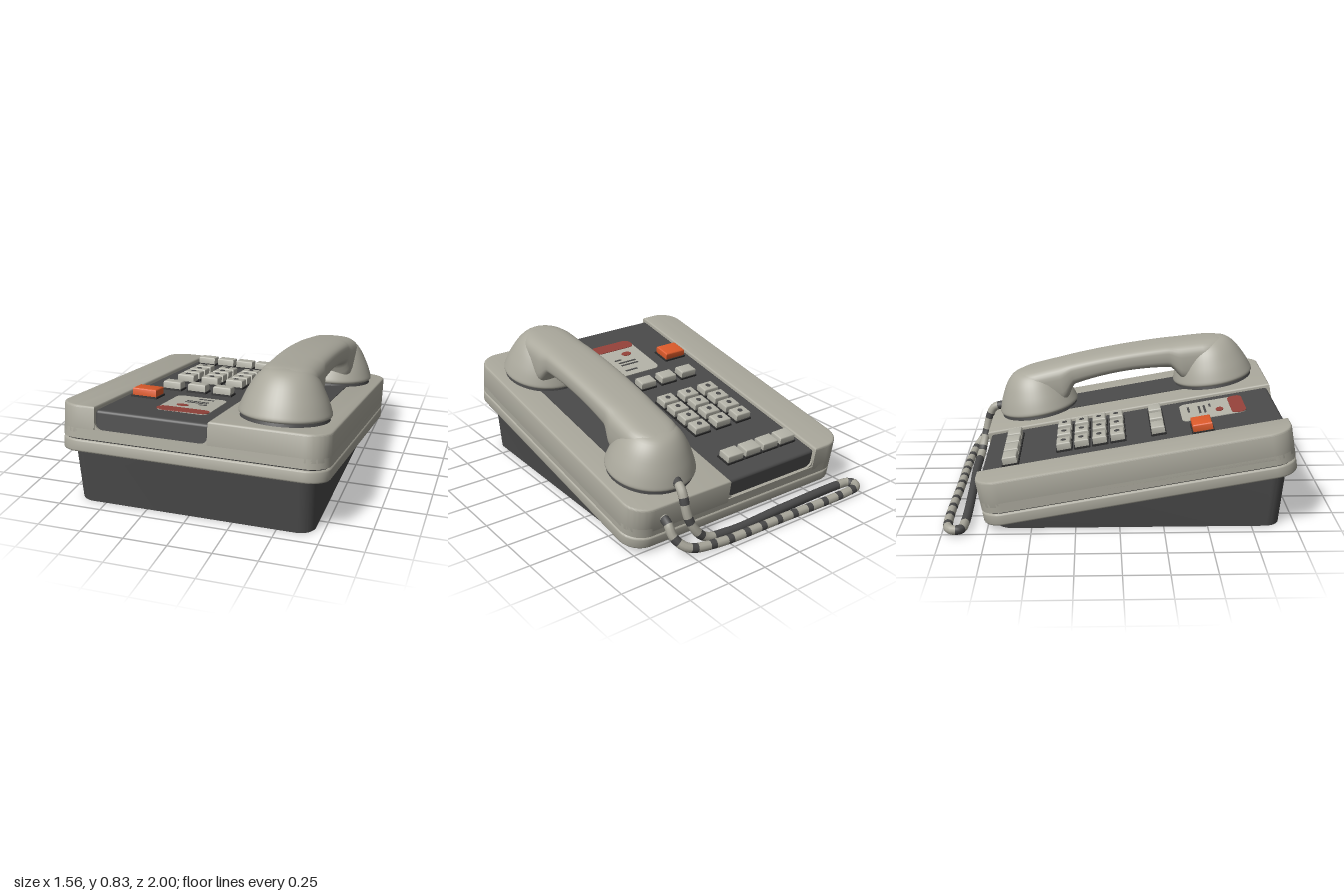
import * as THREE from 'three';
import { toCreasedNormals } from 'three/addons/utils/BufferGeometryUtils.js';
import { RoundedBoxGeometry } from 'three/addons/geometries/RoundedBoxGeometry.js';
import { ParametricGeometry } from 'three/addons/geometries/ParametricGeometry.js';

const paint = (name, color) => {
  const m = new THREE.MeshStandardMaterial({ color });
  m.name = name;
  return m;
};

export function createModel() {
  const shell = paint('warm grey', 0xaaa89c);
  const dark = paint('charcoal', 0x4a4a4a);
  const black = paint('near black', 0x2e2e2e);
  const keyGrey = paint('key grey', 0xb4b3a8);
  const orange = paint('orange', 0xdc5a2a);
  const red = paint('dull red', 0x94423a);

  const model = new THREE.Group();
  model.name = 'deskPhone';

  // everything above the wedge base lies in a frame tilted by ten degrees
  const tilted = new THREE.Group();
  tilted.name = 'tiltedBody';
  tilted.rotation.x = -THREE.MathUtils.degToRad(10);
  tilted.position.set(0, 0.185, 0.115);
  model.add(tilted);

  const add = (parent, name, geometry, material) => {
    const mesh = new THREE.Mesh(geometry, material);
    mesh.name = name;
    parent.add(mesh);
    return mesh;
  };

  // plan outline with separate corner radii on the -x and +x sides
  const outline = (x0, x1, z0, z1, rl, rr) => {
    const s = new THREE.Shape();
    const a = -z1, b = -z0;
    s.moveTo(x0 + rl, a);
    s.lineTo(x1 - rr, a);
    if (rr) s.absarc(x1 - rr, a + rr, rr, -Math.PI / 2, 0);
    s.lineTo(x1, b - rr);
    if (rr) s.absarc(x1 - rr, b - rr, rr, 0, Math.PI / 2);
    s.lineTo(x0 + rl, b);
    if (rl) s.absarc(x0 + rl, b - rl, rl, Math.PI / 2, Math.PI);
    s.lineTo(x0, a + rl);
    if (rl) s.absarc(x0 + rl, a + rl, rl, Math.PI, Math.PI * 1.5);
    return s;
  };

  // upright slab from a plan outline, with rounded edges of size b
  const slab = (x0, x1, z0, z1, y0, y1, rl, rr, b = 0) => {
    const g = new THREE.ExtrudeGeometry(outline(x0, x1, z0, z1, rl, rr), {
      depth: y1 - y0 - 2 * b, bevelEnabled: b > 0, bevelSize: b, bevelThickness: b,
      bevelOffset: -b, bevelSegments: 3, curveSegments: 8,
    });
    g.rotateX(-Math.PI / 2).translate(0, y0 + b, 0);
    return toCreasedNormals(g, 0.6);
  };

  // wedge base: a straight block whose top is sheared to the slope
  const base = new THREE.ExtrudeGeometry(outline(-0.67, 0.7, -0.7, 0.915, 0.09, 0.09),
    { depth: 1, bevelEnabled: false, curveSegments: 8 });
  base.rotateX(-Math.PI / 2);
  const p = base.attributes.position;
  for (let i = 0; i < p.count; i++) {
    if (p.getY(i) < 0.5) continue;
    const z = p.getZ(i) + (p.getZ(i) > 0 ? 0.03 : -0.01);
    p.setXYZ(i, 0.015 + (p.getX(i) - 0.015) * 1.015, 0.345 + (z - 1) * 0.1763, z);
  }
  add(model, 'wedgeBase', toCreasedNormals(base, 0.6), dark);

  // body shell: lower tray, seam, and the upper shell around the key channel
  const L = -0.745, R = 0.78, C0 = -0.52, C1 = 0.13, E = 0.9;
  add(tilted, 'lowerTray', slab(L, R, -E, E, 0, 0.071, 0.13, 0.13, 0.012), shell);
  add(tilted, 'seam', slab(L + 0.012, R - 0.012, -E + 0.012, E - 0.012, 0.06, 0.09, 0.12, 0.12), black);
  add(tilted, 'upperShellFloor', slab(L, R, -E, E, 0.079, 0.135, 0.13, 0.13), shell);
  add(tilted, 'upperShellRight', slab(L, C0, -E, E, 0.1, 0.265, 0.13, 0, 0.012), shell);
  add(tilted, 'upperShellLeft', slab(C1, R, -E, E, 0.1, 0.265, 0, 0.13, 0.012), shell);
  for (const [x, s] of [[C0, 1], [C1, -1]]) {
    const f = new THREE.Shape();
    f.moveTo(0, 0);
    f.lineTo(0.055 * s, 0);
    f.quadraticCurveTo(0, 0, 0, 0.055);
    const g = new THREE.ExtrudeGeometry(f, { depth: 1.784, bevelEnabled: false });
    add(tilted, 'channelFillet', g.translate(x, 0.134, -0.892), shell);
  }
  const panel = new RoundedBoxGeometry(C1 - C0 + 0.01, 0.145, 1.76, 3, 0.018);
  add(tilted, 'keyPanel', panel.translate((C0 + C1) / 2, 0.1725, 0), dark);

  // keys; z is given level and converted to the tilted frame
  const toLocal = z => (z - 0.068) / 0.985;
  const key = (name, x, z, w, d, mat, mark) => {
    const c = toLocal(z);
    const box = (e, y0, y1, b) => slab(x - w / 2 - e, x + w / 2 + e, c - d / 2 - e, c + d / 2 + e, y0, y1, 0, 0, b);
    add(tilted, name + 'Collar', box(0.007, 0.24, 0.256, 0), black);
    add(tilted, name, box(0, 0.245, 0.298, 0.008), mat);
    if (mark) {
      const dot = new THREE.CylinderGeometry(0.016, 0.016, 0.003, 10);
      add(tilted, 'keyMark', dot.translate(x, 0.299, c), dark);
    }
  };
  for (const x of [-0.42, -0.287, -0.155, -0.022]) key('lineKey', x, -0.63, 0.11, 0.085, keyGrey);
  for (const x of [-0.34, -0.183, -0.025]) {
    for (const z of [-0.32, -0.215, -0.11, -0.005]) key('dialKey', x, z, 0.105, 0.082, keyGrey, true);
    key('functionKey', x, 0.23, 0.108, 0.078, keyGrey);
  }
  key('orangeKey', -0.405, 0.48, 0.145, 0.115, orange);

  // information card with red band, oval and ruled lines
  const z0 = toLocal(0.38), z1 = toLocal(0.76), zb = toLocal(0.675);
  add(tilted, 'card', slab(-0.25, 0.055, z0, z1, 0.244, 0.249, 0.04, 0.04), keyGrey);
  add(tilted, 'cardBand', slab(-0.25, 0.055, zb, z1, 0.246, 0.252, 0.04, 0.04), red);
  const oval = new THREE.CylinderGeometry(0.035, 0.035, 0.006, 20);
  add(tilted, 'cardOval', oval.scale(1, 1, 0.65).translate(-0.14, 0.249, toLocal(0.61)), red);
  for (const [x, z, w] of [[-0.06, 0.43, 0.09], [-0.09, 0.495, 0.13], [-0.09, 0.525, 0.13], [-0.04, 0.56, 0.05]]) {
    add(tilted, 'cardLine', new THREE.BoxGeometry(w, 0.004, 0.013).translate(x, 0.249, toLocal(z)), dark);
  }

  // handset: two domed cups joined by an arched grip
  const handset = new THREE.Group();
  handset.name = 'handset';
  handset.position.x = 0.465;
  tilted.add(handset);
  const dome = new THREE.SplineCurve([[0.235, 0.277], [0.257, 0.292], [0.25, 0.325], [0.224, 0.39],
    [0.18, 0.47], [0.13, 0.522], [0.07, 0.54], [0, 0.544]].map(q => new THREE.Vector2(...q))).getPoints(28);
  dome[dome.length - 1].x = 0;
  for (const z of [-0.578, 0.578]) {
    add(handset, 'cup', new THREE.LatheGeometry(dome, 48).translate(0, 0, z), shell);
    add(handset, 'cupRest', new THREE.CylinderGeometry(0.243, 0.25, 0.03, 40).translate(0, 0.272, z), dark);
  }
  add(handset, 'cradleStrip', new THREE.BoxGeometry(0.29, 0.006, 0.8).translate(0, 0.266, 0), dark);

  const power = (v, e) => Math.sign(v) * Math.abs(v) ** e;
  const grip = new ParametricGeometry((u, v, target) => {
    const z = (2 * u - 1) * 0.715, az = Math.abs(z), a = -v * Math.PI * 2;
    const nose = Math.max(0, (az - 0.55) / 0.165);
    const drop = THREE.MathUtils.smoothstep(az, 0.31, 0.4);
    const w = 0.155 * Math.sqrt(Math.max(0, 1 - nose * nose)) + 0.012 * drop * (1 - Math.min(1, nose));
    const top = 0.575 - 0.075 * z * z - 0.03 * nose ** 4;
    const bottom = THREE.MathUtils.lerp(0.435 - 0.28 * z * z, 0.3, drop);
    target.set(w * power(Math.cos(a), 0.6), (top + bottom) / 2 + (top - bottom) / 2 * power(Math.sin(a), 0.6), z);
  }, 72, 40);
  add(handset, 'grip', grip, shell);

  // cord from the handset, looped behind the body and back into the shell
  const path = new THREE.CatmullRomCurve3([
    [0.46, 0.37, -0.74], [0.475, 0.34, -0.81], [0.46, 0.17, -0.865], [0.38, 0.06, -0.89], [0.2, 0.032, -0.9],
    [-0.2, 0.03, -0.885], [-0.66, 0.03, -0.878], [-0.74, 0.03, -0.89], [-0.755, 0.03, -0.925], [-0.73, 0.03, -0.96],
    [-0.64, 0.03, -0.973], [-0.1, 0.03, -0.965], [0.35, 0.035, -0.955], [0.52, 0.06, -0.93], [0.58, 0.12, -0.88],
    [0.59, 0.19, -0.84], [0.585, 0.21, -0.77],
  ].map(q => new THREE.Vector3(...q)));
  const rings = 160, sides = 10;
  const cord = new THREE.TubeGeometry(path, rings, 0.027, sides);
  for (let i = 0; i < rings; i += 2) {
    const plain = i > 22 && i < 72;
    cord.addGroup(i * sides * 6, 2 * sides * 6, plain || i % 6 === 0 ? 0 : 1);
  }
  add(model, 'cord', cord, [dark, shell]);

  return model;
}
